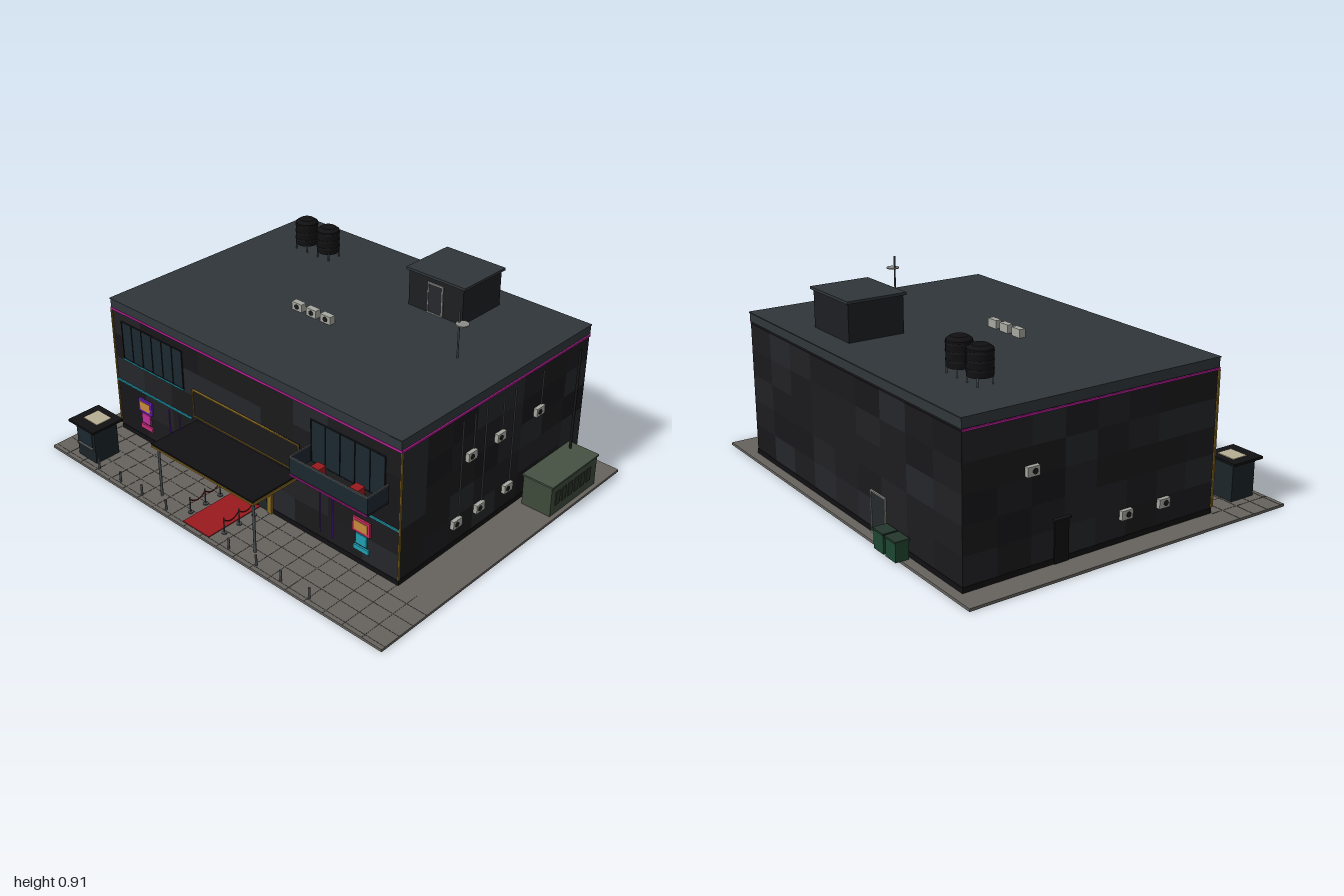
import * as THREE from 'three';

const mats = {};
const mat = (color) => (mats[color] ??= new THREE.MeshStandardMaterial({ color }));

export function createModel() {
  const root = new THREE.Group();
  let parent = root;
  const group = (name, build) => {
    const g = new THREE.Group();
    g.name = name;
    root.add(g);
    parent = g;
    build();
    parent = root;
  };
  const add = (name, geo, color, x, y, z) => {
    const m = new THREE.Mesh(geo, mat(color));
    m.name = name;
    m.position.set(x, y, z);
    parent.add(m);
    return m;
  };
  // box given by its limits on each axis
  const box = (name, color, x0, x1, y0, y1, z0, z1) =>
    add(name, new THREE.BoxGeometry(x1 - x0, y1 - y0, z1 - z0), color, (x0 + x1) / 2, (y0 + y1) / 2, (z0 + z1) / 2);
  // upright cylinder from y0 to y1
  const post = (name, color, x, z, r, y0, y1, sides = 8, rTop = r) =>
    add(name, new THREE.CylinderGeometry(rTop, r, y1 - y0, sides), color, x, (y0 + y1) / 2, z);
  // rectangular outline on a wall facing z
  const frame = (name, color, x0, x1, y0, y1, z0, z1, t) => {
    box(name, color, x0, x1, y0, y0 + t, z0, z1);
    box(name, color, x0, x1, y1 - t, y1, z0, z1);
    box(name, color, x0, x0 + t, y0 + t, y1 - t, z0, z1);
    box(name, color, x1 - t, x1, y0 + t, y1 - t, z0, z1);
  };
  let seed = 7;
  const rand = () => (seed = (seed * 16807) % 2147483647) / 2147483647;

  const DARK = 0x1a1a1c, BLACK = 0x111113, GLASS = 0x1c2730, GREY = 0x8c8c88, METAL = 0x4c5052;
  const GOLD = 0x8a6a22, MAGENTA = 0xc0209c, CYAN = 0x22a0b4, PURPLE = 0x6a22b8, ROOF = 0x30363a;
  const X0 = -0.89, X1 = 0.805, Z0 = -0.745, Z1 = 0.49, G = 0.012, TOP = 0.69;

  group('pavement', () => {
    box('groundSlab', 0x66635e, -1, 1, 0, G, -0.79, 0.81);
    for (let i = 1; i < 20; i++) box('pavingJoint', 0x4a4845, -1 + i * 0.1 - 0.001, -1 + i * 0.1 + 0.001, G, G + 0.001, Z1, 0.81);
    for (let z = 0.55; z < 0.8; z += 0.08) box('pavingJoint', 0x4a4845, -1, 1, G, G + 0.001, z - 0.001, z + 0.001);
    box('redCarpet', 0x9a1a1e, -0.125, 0.035, G, G + 0.004, Z1, 0.79);
  });

  group('building', () => {
    box('walls', DARK, X0 + 0.004, X1 - 0.004, G, 0.65, Z0 + 0.004, Z1 - 0.004);
    box('plinth', BLACK, X0 - 0.002, X1 + 0.002, G, 0.035, Z0 - 0.002, Z1 + 0.002);
    // cladding panels in slightly different shades
    const shades = [0x17171a, 0x1c1c1f, 0x212124, 0x25262b, 0x1a1a1c];
    const rows = 5, h = (0.635 - 0.035) / rows;
    for (let r = 0; r < rows; r++) {
      const y0 = 0.035 + r * h, y1 = y0 + h;
      const shade = () => shades[Math.floor(rand() * shades.length)];
      for (let i = 0; i < 9; i++) {
        const w = (X1 - X0) / 9, x = X0 + i * w;
        box('frontPanel', shade(), x, x + w, y0, y1, Z1 - 0.004, Z1);
        box('backPanel', shade(), x, x + w, y0, y1, Z0, Z0 + 0.004);
      }
      for (let i = 0; i < 8; i++) {
        const w = (Z1 - Z0) / 8, z = Z0 + i * w;
        box('leftPanel', shade(), X1 - 0.004, X1, y0, y1, z, z + w);
        box('rightPanel', shade(), X0, X0 + 0.004, y0, y1, z, z + w);
      }
    }
    box('roofSlab', ROOF, X0 - 0.002, X1 + 0.002, 0.645, 0.685, Z0 - 0.002, Z1 + 0.004);
    box('roofCoping', ROOF, X0 - 0.005, X1 + 0.004, 0.685, TOP, Z0 - 0.005, Z1 + 0.007);
    // light strips
    box('frontTopStrip', MAGENTA, X0 - 0.005, X1 + 0.005, 0.635, 0.645, Z1, Z1 + 0.006);
    for (const x of [X0 - 0.003, X1 + 0.003]) {
      box('sideTopStrip', MAGENTA, x - 0.003, x + 0.003, 0.635, 0.643, Z0, Z1);
      box('cornerStrip', GOLD, x - 0.003, x + 0.003, 0.04, 0.635, Z1 - 0.003, Z1 + 0.006);
    }
    box('middleStrip', CYAN, X0, -0.385, 0.271, 0.279, Z1, Z1 + 0.006);
    box('middleStrip', CYAN, 0.29, X1, 0.271, 0.279, Z1, Z1 + 0.006);
    for (const x of [-0.54, -0.47, 0.385, 0.455]) box('uprightStrip', PURPLE, x - 0.002, x + 0.002, 0.06, 0.255, Z1, Z1 + 0.005);
  });

  group('upperWindows', () => {
    for (const [x0, x1, y0, y1, n] of [[-0.83, -0.425, 0.405, 0.595, 6], [0.34, 0.73, 0.385, 0.585, 5]]) {
      box('windowGlass', GLASS, x0, x1, y0, y1, Z1, Z1 + 0.003);
      frame('windowFrame', BLACK, x0, x1, y0, y1, Z1, Z1 + 0.006, 0.004);
      for (let i = 1; i < n; i++) {
        const x = x0 + ((x1 - x0) * i) / n;
        box('mullion', BLACK, x - 0.002, x + 0.002, y0, y1, Z1, Z1 + 0.006);
      }
    }
    box('sillStrip', CYAN, -0.83, -0.425, 0.401, 0.408, Z1, Z1 + 0.008);
  });

  group('balcony', () => {
    box('balconyFloor', DARK, 0.335, 0.745, 0.376, 0.388, Z1, 0.61);
    box('frontGuard', GLASS, 0.335, 0.745, 0.388, 0.46, 0.606, 0.61);
    for (const x of [0.335, 0.741]) {
      box('sideGuard', GLASS, x, x + 0.004, 0.388, 0.46, Z1, 0.606);
      box('sideRail', METAL, x - 0.001, x + 0.005, 0.46, 0.465, Z1, 0.612);
    }
    box('frontRail', METAL, 0.334, 0.746, 0.46, 0.465, 0.605, 0.612);
    box('balconyStrip', MAGENTA, 0.335, 0.745, 0.376, 0.382, 0.61, 0.614);
    for (const x of [0.43, 0.635]) box('redSeat', 0x9a1a1e, x - 0.022, x + 0.022, 0.388, 0.43, 0.525, 0.567);
  });

  group('entrance', () => {
    box('doorGlass', 0x1d2626, -0.17, 0.085, G, 0.25, Z1, Z1 + 0.004);
    for (const x of [-0.195, 0.085]) box('doorPillar', GOLD, x, x + 0.025, G, 0.255, Z1, Z1 + 0.012);
    box('transom', BLACK, -0.17, 0.085, 0.215, 0.221, Z1, Z1 + 0.008);
    for (const x of [-0.168, -0.106, -0.043, 0.02, 0.083]) box('doorStile', BLACK, x - 0.003, x + 0.003, G, 0.25, Z1, Z1 + 0.008);
    for (const x of [-0.083, -0.008]) post('doorHandle', GREY, x, Z1 + 0.012, 0.003, 0.07, 0.15);
    box('signBoard', DARK, -0.365, 0.275, 0.297, 0.432, Z1, Z1 + 0.006);
    frame('signFrame', GOLD, -0.365, 0.275, 0.297, 0.432, Z1, Z1 + 0.01, 0.005);
  });

  group('canopy', () => {
    box('canopyRoof', BLACK, -0.352, 0.262, 0.26, 0.281, Z1, 0.743);
    box('canopyFrontEdge', BLACK, -0.356, 0.266, 0.275, 0.282, 0.741, 0.748);
    box('canopyFrontTrim', GOLD, -0.356, 0.266, 0.262, 0.27, 0.743, 0.747);
    for (const x of [-0.354, 0.264]) box('canopySideTrim', GOLD, x - 0.002, x + 0.002, 0.262, 0.274, Z1, 0.745);
    for (const x of [-0.335, 0.243]) post('canopyPost', METAL, x, 0.725, 0.006, G, 0.26, 10);
  });

  group('posters', () => {
    for (const [x, edge, low] of [[-0.702, PURPLE, 0xc0309a], [0.614, 0xc82c5c, CYAN]]) {
      box('posterFrame', edge, x - 0.046, x + 0.046, 0.168, 0.235, Z1, Z1 + 0.008);
      box('posterPanel', 0xc88a3c, x - 0.034, x + 0.034, 0.18, 0.223, Z1, Z1 + 0.01);
      box('lowerPoster', low, x - 0.029, x + 0.029, 0.112, 0.163, Z1, Z1 + 0.008);
      box('posterBar', x < 0 ? 0xc82c7c : CYAN, x - 0.04, x + 0.04, 0.08, 0.102, Z1, Z1 + 0.008);
    }
  });

  group('queueBarrier', () => {
    for (const x of [-0.15, 0.06]) {
      const zs = [0.725, 0.64, 0.555];
      zs.forEach((z, i) => {
        post('barrierBase', METAL, x, z, 0.012, G, G + 0.005, 12);
        post('barrierPost', METAL, x, z, 0.003, G, 0.09);
        if (!i) return;
        const rope = new THREE.QuadraticBezierCurve3(
          new THREE.Vector3(x, 0.08, zs[i - 1]), new THREE.Vector3(x, 0.035, z + 0.0425), new THREE.Vector3(x, 0.08, z));
        add('rope', new THREE.TubeGeometry(rope, 8, 0.003, 6), 0x7a1a1e, 0, 0, 0);
      });
    }
    for (const x of [-0.695, -0.545, -0.4, -0.24, 0.15, 0.31, 0.45, 0.605]) post('bollard', METAL, x, 0.783, 0.005, G, 0.065, 10);
  });

  group('kiosk', () => {
    box('kioskBody', 0x1b2428, -0.86, -0.735, G, 0.185, 0.64, 0.768);
    box('kioskRoof', BLACK, -0.885, -0.71, 0.183, 0.194, 0.622, 0.79);
    box('kioskRoofLight', 0xb8ae94, -0.842, -0.748, 0.194, 0.197, 0.657, 0.737);
    box('kioskWindow', GLASS, -0.845, -0.75, 0.09, 0.165, 0.768, 0.771);
    box('kioskCounter', METAL, -0.85, -0.745, 0.08, 0.086, 0.768, 0.78);
  });

  group('roofHouse', () => {
    box('roofHouseWalls', 0x1e1f22, 0.113, 0.41, TOP, 0.86, -0.627, -0.363);
    box('roofHouseCap', ROOF, 0.1, 0.422, 0.858, 0.87, -0.637, -0.355);
    box('roofDoor', 0x26292c, 0.225, 0.298, TOP, 0.83, -0.363, -0.359);
    frame('roofDoorFrame', GREY, 0.219, 0.304, TOP, 0.836, -0.363, -0.357, 0.006);
  });

  group('waterTanks', () => {
    for (const x of [-0.62, -0.482]) {
      post('tank', BLACK, x, -0.48, 0.053, 0.722, 0.83, 20);
      post('tankLid', BLACK, x, -0.48, 0.053, 0.83, 0.843, 20, 0.035);
      for (const y of [0.75, 0.785, 0.818]) post('tankRib', 0x1a1a1c, x, -0.48, 0.055, y - 0.003, y + 0.003, 20);
      for (const a of [0, 1, 2, 3]) {
        const t = Math.PI * (a / 2 + 0.25);
        post('tankLeg', METAL, x + 0.05 * Math.cos(t), -0.48 + 0.05 * Math.sin(t), 0.004, TOP, 0.724, 6);
      }
    }
  });

  group('roofMachines', () => {
    for (const x of [-0.2, -0.114, -0.03]) {
      box('roofCooler', 0xa8a8a2, x - 0.029, x + 0.029, TOP, 0.727, -0.01, 0.02);
      add('roofCoolerFan', new THREE.CylinderGeometry(0.012, 0.012, 0.003, 16), DARK, x, 0.709, 0.021).rotation.x = Math.PI / 2;
    }
    post('mast', METAL, 0.569, -0.13, 0.004, TOP, 0.907);
    post('mastDish', GREY, 0.586, -0.13, 0.028, 0.848, 0.853, 20);
  });

  // wall coolers with pipes running up the side walls
  group('wallCoolers', () => {
    const cooler = (side, z, y, pipe) => {
      const x = side > 0 ? X1 : X0;
      add('wallCooler', new THREE.BoxGeometry(0.018, 0.04, 0.056), 0xa8a8a2, x + side * 0.009, y, z);
      add('wallCoolerFan', new THREE.CylinderGeometry(0.012, 0.012, 0.003, 16), DARK, x + side * 0.019, y, z + 0.006).rotation.z = Math.PI / 2;
      if (pipe) post('coolerPipe', METAL, x + side * 0.003, z - 0.022, 0.003, y, 0.6, 6);
    };
    for (const z of [0.067, -0.123, -0.393]) cooler(1, z, 0.422, true);
    for (const z of [0.143, -0.008, -0.2]) cooler(1, z, 0.131, true);
    cooler(-1, -0.44, 0.422, false);
    for (const z of [0.02, 0.215]) cooler(-1, z, 0.131, false);
  });

  group('serviceDoors', () => {
    box('backDoor', 0x26292c, -0.35, -0.25, G, 0.19, Z0 - 0.004, Z0);
    frame('backDoorFrame', GREY, -0.357, -0.243, G, 0.197, Z0 - 0.007, Z0, 0.007);
    box('sideDoor', BLACK, X0 - 0.006, X0, G, 0.19, -0.33, -0.262);
    box('sideDoorHood', DARK, X0 - 0.014, X0, 0.19, 0.198, -0.335, -0.257);
  });

  group('generator', () => {
    box('generatorBody', 0x3e4a3a, 0.835, 0.98, G, 0.157, -0.625, -0.287);
    box('generatorLid', 0x465242, 0.83, 0.986, 0.157, 0.165, -0.63, -0.282);
    for (let i = 0; i < 6; i++) {
      const z = -0.335 - i * 0.046;
      box('generatorVent', 0x2a3328, 0.98, 0.983, 0.055, 0.122, z - 0.016, z + 0.016);
    }
    post('exhaustPipe', DARK, 0.865, -0.587, 0.006, 0.16, 0.655, 10);
  });

  group('wasteBins', () => {
    for (const x of [-0.505, -0.415]) {
      box('bin', 0x1e4630, x - 0.037, x + 0.037, G, 0.092, -0.817, -0.757);
      box('binLid', 0x24382c, x - 0.04, x + 0.04, 0.092, 0.1, -0.82, -0.754);
    }
  });

  return root;
}
